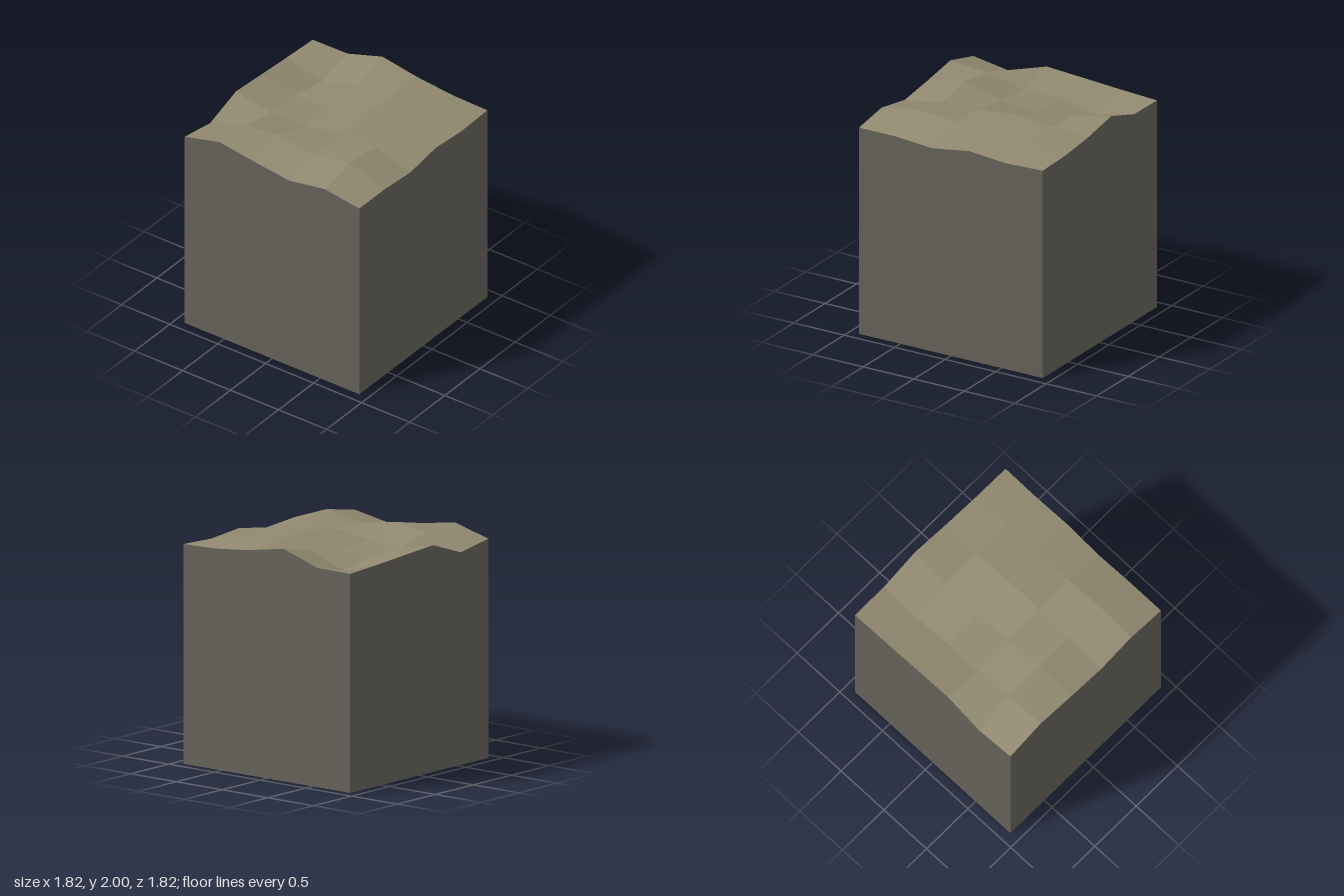
import * as THREE from 'three';

// Terrain heights: rows run from back (-z) to front (+z), columns from -x to +x
const HEIGHTS = [
  [1.885, 1.828, 1.95, 1.927, 1.903, 1.883],
  [1.975, 1.948, 1.875, 1.868, 1.8, 1.887],
  [1.92, 1.99, 1.897, 1.862, 1.924, 2.0],
  [1.873, 1.935, 1.95, 1.985, 1.945, 1.938],
  [1.934, 2.0, 1.964, 1.912, 1.957, 1.9],
  [1.88, 1.88, 1.853, 1.907, 1.877, 1.89],
];
const CELLS = 5;
const HALF = 0.91;
const STEP = (2 * HALF) / CELLS;

const point = (i, j) =>
  new THREE.Vector3(-HALF + i * STEP, HEIGHTS[j][i], -HALF + j * STEP);
const floorPoint = (p) => new THREE.Vector3(p.x, 0, p.z);

// Flat-shaded quads, corners counter-clockwise, split along the b-d diagonal
function quadGeometry(quads) {
  const positions = [];
  const normals = [];
  for (const [a, b, c, d] of quads) {
    const n = c.clone().sub(a).cross(d.clone().sub(b)).normalize();
    for (const p of [a, b, d, b, c, d]) {
      positions.push(p.x, p.y, p.z);
      normals.push(n.x, n.y, n.z);
    }
  }
  const geometry = new THREE.BufferGeometry();
  geometry.setAttribute('position', new THREE.Float32BufferAttribute(positions, 3));
  geometry.setAttribute('normal', new THREE.Float32BufferAttribute(normals, 3));
  return geometry;
}

export function createModel() {
  const group = new THREE.Group();
  group.name = 'terrainBlock';

  const ground = new THREE.MeshStandardMaterial({ color: 0x90886f, side: THREE.DoubleSide });
  ground.name = 'dry ground';
  const rock = new THREE.MeshStandardMaterial({ color: 0x66625a, side: THREE.DoubleSide });
  rock.name = 'dark rock';

  const add = (name, quads, material) => {
    const mesh = new THREE.Mesh(quadGeometry(quads), material);
    mesh.name = name;
    group.add(mesh);
  };

  // Uneven top surface
  const top = [];
  for (let j = 0; j < CELLS; j++) {
    for (let i = 0; i < CELLS; i++) {
      top.push([point(i, j), point(i, j + 1), point(i + 1, j + 1), point(i + 1, j)]);
    }
  }
  add('groundSurface', top, ground);

  // Four side walls following the edge of the surface; the underside is open
  const walls = {
    frontWall: (k) => point(k, CELLS),
    rightWall: (k) => point(CELLS, CELLS - k),
    backWall: (k) => point(CELLS - k, 0),
    leftWall: (k) => point(0, k),
  };
  for (const [name, edge] of Object.entries(walls)) {
    const quads = [];
    for (let k = 0; k < CELLS; k++) {
      const a = edge(k);
      const b = edge(k + 1);
      quads.push([floorPoint(a), floorPoint(b), b, a]);
    }
    // Names use the model's own sides: its left is +x
    const own = { rightWall: 'leftWall', leftWall: 'rightWall' }[name] || name;
    add(own, quads, rock);
  }
  return group;
}
